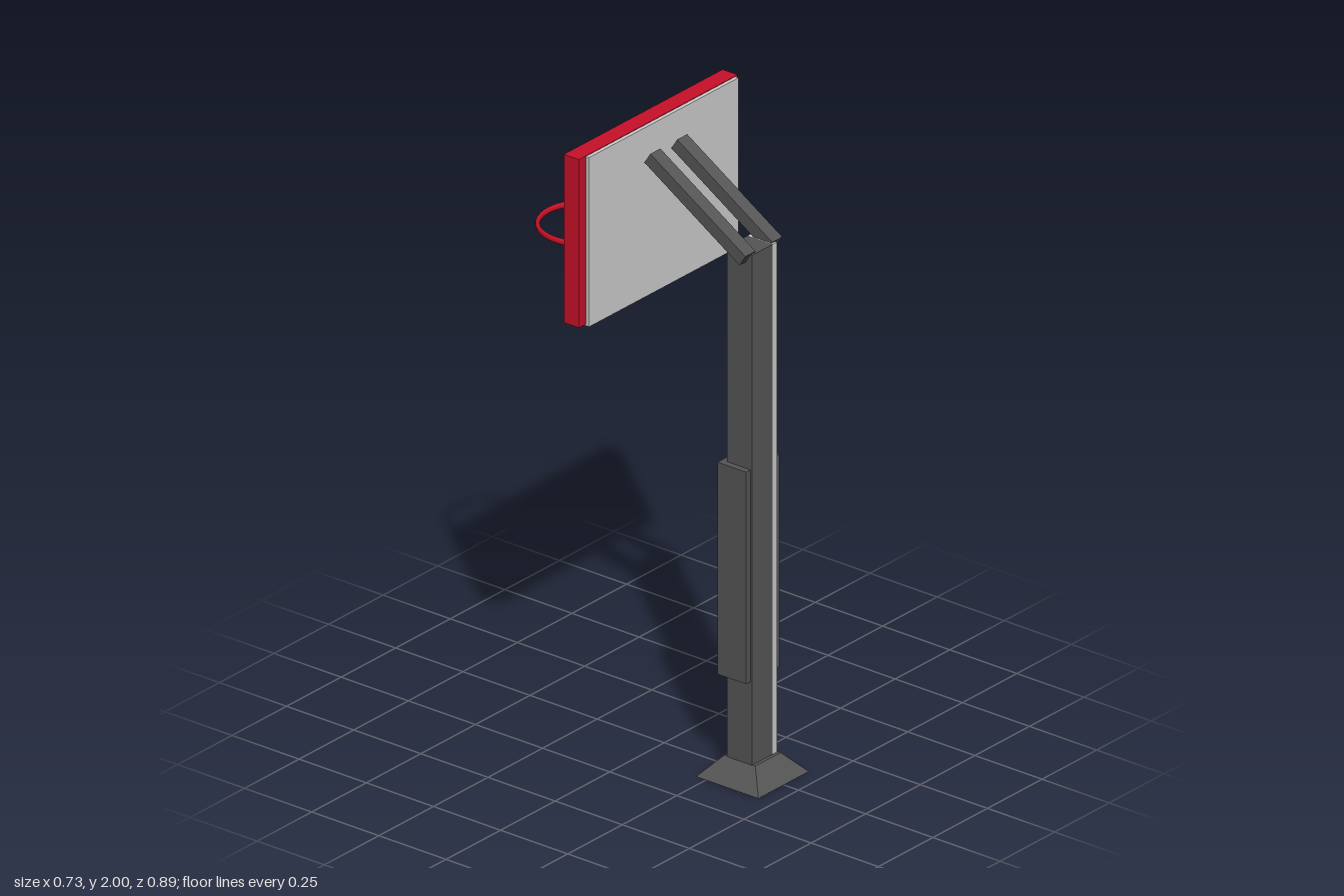
import * as THREE from 'three';

const material = (color) => new THREE.MeshStandardMaterial({ color, flatShading: true });
const dark = material(0x555555);
const light = material(0xd9dddd);
const red = material(0xc8102a);

export function createModel() {
  const model = new THREE.Group();
  model.name = 'basketballHoop';

  const add = (name, geometry, mat) => {
    const mesh = new THREE.Mesh(geometry, mat);
    mesh.name = name;
    model.add(mesh);
    return mesh;
  };

  // Box given by its minimum and maximum corners
  const box = (name, mat, [x0, y0, z0], [x1, y1, z1]) => {
    const mesh = add(name, new THREE.BoxGeometry(x1 - x0, y1 - y0, z1 - z0), mat);
    mesh.position.set((x0 + x1) / 2, (y0 + y1) / 2, (z0 + z1) / 2);
    return mesh;
  };

  // Rectangular frame extruded from z0 to z1
  const frame = (name, mat, [x0, y0], [x1, y1], border, z0, z1) => {
    const rect = (path, a, b, c, d) =>
      path.moveTo(a, b).lineTo(c, b).lineTo(c, d).lineTo(a, d).closePath();
    const shape = new THREE.Shape();
    rect(shape, x0, y0, x1, y1);
    const hole = new THREE.Path();
    rect(hole, x0 + border, y0 + border, x1 - border, y1 - border);
    shape.holes.push(hole);
    const geometry = new THREE.ExtrudeGeometry(shape, { depth: z1 - z0, bevelEnabled: false });
    add(name, geometry, mat).position.z = z0;
  };

  // Tapered square foot
  const foot = new THREE.CylinderGeometry(0.058 * Math.SQRT2, 0.116 * Math.SQRT2, 0.065, 4);
  foot.rotateY(Math.PI / 4);
  add('base', foot, dark).position.set(-0.001, 0.0325, 0.329);

  // Pole with a light side strip, wrapped by a protective pad
  box('pole', dark, [-0.06, 0.05, 0.283], [0.034, 1.7, 0.376]);
  box('poleSideStrip', light, [0.034, 0.05, 0.283], [0.054, 1.7, 0.376]);
  box('polePad', dark, [-0.08, 0.33, 0.263], [0.073, 1.01, 0.37]);

  // Pair of sloping arms carrying the board
  const low = new THREE.Vector2(0.361, 1.687);
  const high = new THREE.Vector2(0.007, 1.909);
  const run = high.clone().sub(low);
  for (const [name, x] of [['rightArm', -0.063], ['leftArm', 0.06]]) {
    const arm = add(name, new THREE.BoxGeometry(0.046, 0.041, run.length()), dark);
    arm.position.set(x, (low.y + high.y) / 2, (low.x + high.x) / 2);
    arm.rotation.x = Math.atan2(run.y, -run.x);
  }

  // Backboard panel, outer frame and target rectangle
  box('backboardPanel', light, [-0.332, 1.455, -0.058], [0.352, 1.998, -0.01]);
  frame('backboardFrame', red, [-0.364, 1.46], [0.363, 2], 0.035, -0.078, -0.022);
  frame('targetRectangle', red, [-0.163, 1.51], [0.162, 1.757], 0.028, -0.08, -0.05);

  // Rim bracket: side profile extruded across x
  const profile = [[0.055, 1.512], [0.128, 1.512], [0.158, 1.553], [0.165, 1.576], [0.055, 1.576]];
  const bracket = new THREE.ExtrudeGeometry(
    new THREE.Shape(profile.map(([z, y]) => new THREE.Vector2(z, y))),
    { depth: 0.064, bevelEnabled: false }
  );
  bracket.rotateY(Math.PI / 2);
  add('rimBracket', bracket, red).position.x = -0.023;

  // Rim, slightly taller than wide in section
  const ring = new THREE.TorusGeometry(0.139, 0.007, 10, 64);
  ring.rotateX(Math.PI / 2).scale(1, 1.4, 1);
  const rimMaterial = red.clone();
  rimMaterial.flatShading = false;
  add('rim', ring, rimMaterial).position.set(0.01, 1.57, -0.301);

  return model;
}
